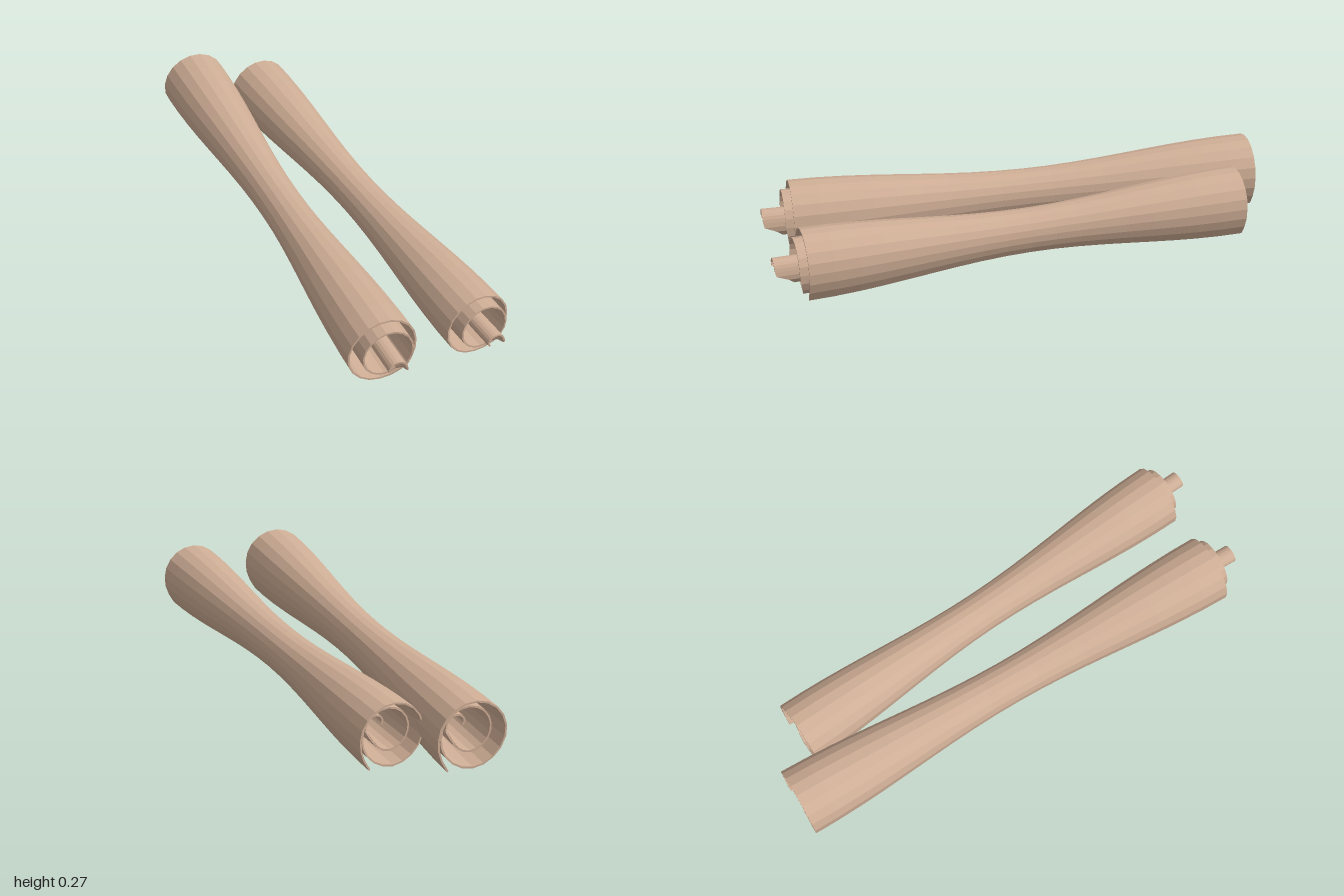
import * as THREE from 'three';

const material = new THREE.MeshStandardMaterial({ color: 0xcfae96, flatShading: true });

// Spiral of the rolled sheet: angle in degrees, radius, how far that turn slides forward
const SPIRAL = [
  [-53, 0.15, 0], [-30, 0.135, 0], [0, 0.13, 0], [90, 0.134, 0], [180, 0.137, 0],
  [270, 0.127, 0.005], [315, 0.117, 0.02], [360, 0.106, 0.03], [450, 0.105, 0.03],
  [540, 0.092, 0.03], [630, 0.078, 0.035], [670, 0.065, 0.045], [695, 0.052, 0.105],
  [720, 0.042, 0.11], [810, 0.036, 0.11], [880, 0.034, 0.11], [920, 0.027, 0.11],
];
const THICKNESS = 0.007;
const TURN_STEPS = 52;
const LENGTH_STEPS = 18;

function sampleSpiral(angle) {
  let i = 0;
  while (i < SPIRAL.length - 2 && angle > SPIRAL[i + 1][0]) i++;
  const [a0, r0, s0] = SPIRAL[i];
  const [a1, r1, s1] = SPIRAL[i + 1];
  const f = (angle - a0) / (a1 - a0);
  return [r0 + (r1 - r0) * f, s0 + (s1 - s0) * f];
}

// Closed outline: along the outside of the sheet, then back along its inside
function sheetOutline() {
  const outer = [], inner = [];
  const first = SPIRAL[0][0], last = SPIRAL[SPIRAL.length - 1][0];
  for (let i = 0; i <= TURN_STEPS; i++) {
    const deg = first + ((last - first) * i) / TURN_STEPS;
    const [r, shift] = sampleSpiral(deg);
    const a = THREE.MathUtils.degToRad(deg);
    const at = (q) => ({ x: q * Math.cos(a), y: q * Math.sin(a), shift });
    outer.push(at(r));
    inner.push(at(r - THICKNESS));
  }
  return [...outer, ...inner.reverse()];
}

// Sweep the outline along z, narrowing to a waist halfway
function rolledSheet(length, radiusScale) {
  const outline = sheetOutline();
  const n = outline.length;
  const positions = [], index = [];
  for (let k = 0; k <= LENGTH_STEPS; k++) {
    const t = (2 * k) / LENGTH_STEPS - 1;
    const s = radiusScale * (1 - 0.37 * Math.cos((t * Math.PI) / 2) ** 2);
    for (const p of outline) positions.push(p.x * s, p.y * s, (t * length) / 2 + p.shift);
  }
  const quad = (a, b, c, d) => index.push(a, b, c, a, c, d);
  for (let k = 0; k < LENGTH_STEPS; k++) {
    for (let j = 0; j < n; j++) {
      const j1 = (j + 1) % n;
      quad(k * n + j, k * n + j1, (k + 1) * n + j1, (k + 1) * n + j);
    }
  }
  // Thin edges at both ends
  const top = LENGTH_STEPS * n;
  for (let i = 0; i < TURN_STEPS; i++) {
    const o0 = i, o1 = i + 1, i1 = n - 2 - i, i0 = n - 1 - i;
    quad(top + o0, top + o1, top + i1, top + i0);
    quad(o0, i0, i1, o1);
  }
  const indexed = new THREE.BufferGeometry();
  indexed.setAttribute('position', new THREE.Float32BufferAttribute(positions, 3));
  indexed.setIndex(index);
  const geometry = indexed.toNonIndexed();
  geometry.computeVertexNormals();
  return geometry;
}

// Place a roll so that its axis runs from the back point to the front point (x, z)
function addRoll(group, name, front, back, y, radiusScale) {
  const dx = front[0] - back[0], dz = front[1] - back[1];
  const mesh = new THREE.Mesh(rolledSheet(Math.hypot(dx, dz), radiusScale), material);
  mesh.name = name;
  mesh.position.set((front[0] + back[0]) / 2, y, (front[1] + back[1]) / 2);
  mesh.rotation.y = Math.atan2(dx, dz);
  group.add(mesh);
}

export function createModel() {
  const group = new THREE.Group();
  group.name = 'rolledBarkSticks';
  addRoll(group, 'longRoll', [-0.222, 0.84], [0.005, -0.98], 0.138, 1);
  addRoll(group, 'shortRoll', [0.148, 0.89], [0.228, -0.82], 0.126, 0.945);
  return group;
}
